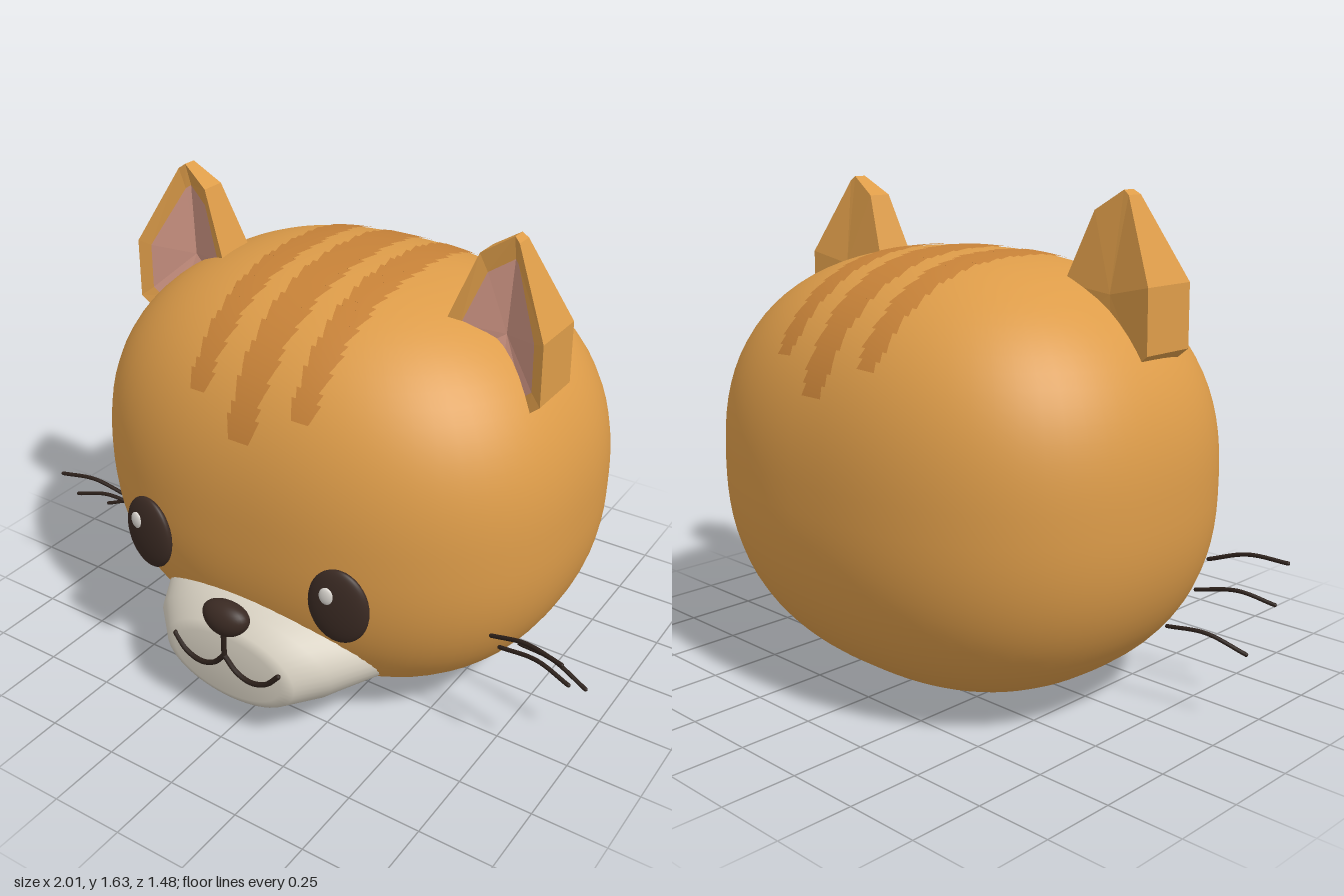
import * as THREE from 'three';
import { mergeVertices } from 'three/addons/utils/BufferGeometryUtils.js';

const V = (x, y, z) => new THREE.Vector3(x, y, z);
const mat = (name, color) => {
  const m = new THREE.MeshStandardMaterial({ color });
  m.name = name;
  return m;
};

// Head is a superellipsoid
const N = 2.4, R = V(0.857, 0.715, 0.685), C = V(0, 0.715, -0.055);
const headNormal = (p) => {
  const g = (k) => Math.sign(p[k] - C[k]) * Math.abs((p[k] - C[k]) / R[k]) ** (N - 1) / R[k];
  return V(g('x'), g('y'), g('z')).normalize();
};

// Move every vertex by a rule, taking the normals from the head surface
function wrapOnHead(geo, rule) {
  const pos = geo.attributes.position, nor = geo.attributes.normal;
  for (let i = 0; i < pos.count; i++) {
    const p = rule(V().fromBufferAttribute(pos, i), i);
    const n = headNormal(p);
    pos.setXYZ(i, p.x, p.y, p.z);
    nor.setXYZ(i, n.x, n.y, n.z);
  }
  return geo;
}

// Join closed rings, counter-clockwise from the front and listed front to back
function loft(rings, smooth) {
  const out = [];
  for (let i = 0; i + 1 < rings.length; i++) {
    const n = rings[i].length;
    for (let j = 0; j < n; j++) {
      const k = (j + 1) % n;
      const a = rings[i][j], b = rings[i][k], c = rings[i + 1][j], d = rings[i + 1][k];
      for (const p of [a, c, b, b, c, d]) out.push(p.x, p.y, p.z);
    }
  }
  let geo = new THREE.BufferGeometry();
  geo.setAttribute('position', new THREE.Float32BufferAttribute(out, 3));
  if (smooth) geo = mergeVertices(geo);
  geo.computeVertexNormals();
  return geo;
}

function headGeometry() {
  return wrapOnHead(new THREE.SphereGeometry(1, 72, 48), (p) => {
    const r = (Math.abs(p.x) ** N + Math.abs(p.y) ** N + Math.abs(p.z) ** N) ** (-1 / N);
    return p.multiplyScalar(r).multiply(R).add(C);
  });
}

// Jagged stripe running over the crown from back to front
function stripeGeometry(x0, halfWidth, reach) {
  const teeth = 44, cols = 4, rows = teeth * 2 - 1;
  return wrapOnHead(new THREE.PlaneGeometry(1, 1, cols, rows), (p, i) => {
    const row = Math.floor(i / (cols + 1));
    const tooth = Math.floor(row / 2), u = (tooth + (row % 2)) / teeth;
    const a = (u * 2 - 1) * reach;
    const jag = ((tooth * 7) % 5) * 0.003 + (row % 2 ? -0.005 : 0.005);
    const w = halfWidth * (1 - 0.35 * Math.abs(u * 2 - 1) ** 2) + jag - 0.004;
    const x = x0 + p.x * 2 * w;
    const s = (1 - Math.abs(x / R.x) ** N) ** (1 / N);
    const c = Math.cos(a), n = Math.sin(a);
    const k = s * (Math.abs(c) ** N + Math.abs(n) ** N) ** (-1 / N);
    const q = V(x, C.y + R.y * k * c, C.z + R.z * k * n);
    return q.addScaledVector(headNormal(q), 0.004);
  });
}

// Muzzle rings: [half width, top y, top z, bottom y, bottom z]
function muzzleGeometry() {
  const rings = [
    [0, 0.265, 0.705, 0.265, 0.705],
    [0.21, 0.375, 0.705, 0.15, 0.703],
    [0.255, 0.405, 0.69, 0.122, 0.688],
    [0.34, 0.45, 0.645, 0.1, 0.57],
    [0.44, 0.488, 0.59, 0.033, 0.2],
    [0.43, 0.47, 0.45, 0.06, 0.02],
  ].map(([w, ty, tz, by, bz]) => Array.from({ length: 48 }, (_, j) => {
    const a = (j / 48) * Math.PI * 2, s = Math.sin(a);
    return V(w * Math.cos(a), (ty + by) / 2 + s * (ty - by) / 2, (tz + bz) / 2 + s * (tz - bz) / 2);
  }));
  return loft(rings, true);
}

export function createModel() {
  const group = new THREE.Group();
  group.name = 'catHead';
  const orange = mat('orange fur', 0xdd9c49), stripe = mat('stripe fur', 0xc78238);
  const cream = mat('cream fur', 0xd9d2c3), dark = mat('dark brown', 0x3a2a23);
  const line = mat('line brown', 0x2c201a), pink = mat('ear pink', 0xcc9382);
  const shine = mat('eye shine', 0xd9d5cf);

  const add = (name, geo, material, parent = group) => {
    const m = new THREE.Mesh(geo, material);
    m.name = name;
    parent.add(m);
    return m;
  };
  const ellipsoid = (name, material, pos, size, parent) => {
    const m = add(name, new THREE.SphereGeometry(1, 32, 20).scale(...size), material, parent);
    m.position.set(...pos);
    return m;
  };
  const tube = (name, pts, r, material) => {
    add(name, new THREE.TubeGeometry(new THREE.CatmullRomCurve3(pts), 24, r, 8), material);
    [pts[0], pts[pts.length - 1]].forEach((p) =>
      add(name + 'End', new THREE.SphereGeometry(r, 8, 6).translate(p.x, p.y, p.z), material));
  };

  add('head', headGeometry(), orange);
  add('middleStripe', stripeGeometry(0, 0.066, 1.135), stripe);
  add('leftStripe', stripeGeometry(0.19, 0.052, 0.985), stripe);
  add('rightStripe', stripeGeometry(-0.19, 0.052, 0.985), stripe);
  add('muzzle', muzzleGeometry(), cream);

  // Nose narrows towards its lower edge
  const nose = new THREE.SphereGeometry(1, 32, 20);
  const np = nose.attributes.position;
  for (let i = 0; i < np.count; i++) np.setX(i, np.getX(i) * (1 + 0.2 * np.getY(i)));
  nose.scale(0.084, 0.06, 0.052).translate(0, 0.443, 0.691);
  nose.computeVertexNormals();
  add('nose', nose, dark);

  // Mouth
  tube('mouthLine', [V(0, 0.4, 0.708), V(0, 0.35, 0.71), V(0, 0.305, 0.71)], 0.009, line);

  // Ear outline: [x, y, front z, back z], counter-clockwise from the front
  const outline = [
    [0.62, 1.13, 0.12, -0.05], [0.72, 1.13, 0.13, -0.06], [0.76, 1.165, 0.137, -0.066],
    [0.757, 1.365, 0.137, -0.066], [0.625, 1.62, 0.06, 0.002], [0.605, 1.635, 0.05, 0.005],
    [0.507, 1.572, 0.075, -0.01], [0.42, 1.35, 0.105, -0.042], [0.4, 1.2, 0.105, -0.042],
  ];

  for (const s of [1, -1]) {
    const side = s > 0 ? 'left' : 'right';

    tube(side + 'Mouth', [[0, 0.31, 0.71], [0.045, 0.262, 0.71], [0.1, 0.244, 0.71],
      [0.16, 0.262, 0.708], [0.205, 0.308, 0.703]].map(([x, y, z]) => V(s * x, y, z)), 0.009, line);

    // Eye with its shine
    const eye = new THREE.Group();
    eye.name = side + 'Eye';
    eye.position.set(s * 0.37, 0.588, 0.61);
    eye.rotation.y = s * 0.14;
    group.add(eye);
    ellipsoid('eyeball', dark, [0, 0, 0], [0.102, 0.13, 0.032], eye);
    ellipsoid('eyeShine', shine, [-0.028, 0.046, 0.027], [0.024, 0.03, 0.01], eye);

    // Whiskers: root, bend and tip
    [
      [[0.74, 0.45, 0.32], [0.87, 0.49, 0.345], [1, 0.485, 0.372]],
      [[0.74, 0.363, 0.255], [0.88, 0.388, 0.28], [1, 0.365, 0.307]],
      [[0.74, 0.28, 0.107], [0.87, 0.286, 0.13], [1, 0.245, 0.158]],
    ].forEach((pts, i) =>
      tube(side + 'Whisker' + (i + 1), pts.map(([x, y, z]) => V(s * x, y, z)), 0.007, line));

    // Ear shell with a hollow pink inside
    const pts = s > 0 ? outline : [...outline].reverse();
    const front = pts.map(([x, y, z]) => V(s * x, y, z));
    const back = pts.map(([x, y, , z]) => V(s * x, y, z));
    const mid = V(s * 0.59, 1.3, 0.06);
    const rim = front.map((p) => V(mid.x + (p.x - mid.x) * 0.77, mid.y + (p.y - mid.y) * 0.77, p.z - 0.02));
    const hollow = pts.map(() => V(s * 0.59, 1.32, 0.035));
    const backMid = pts.map(() => V(s * 0.6, 1.33, -0.045));
    const ear = new THREE.Group();
    ear.name = side + 'Ear';
    group.add(ear);
    add('earShell', loft([rim, front, back, backMid]), orange, ear);
    add('innerEar', loft([hollow, rim]), pink, ear);
  }
  return group;
}
